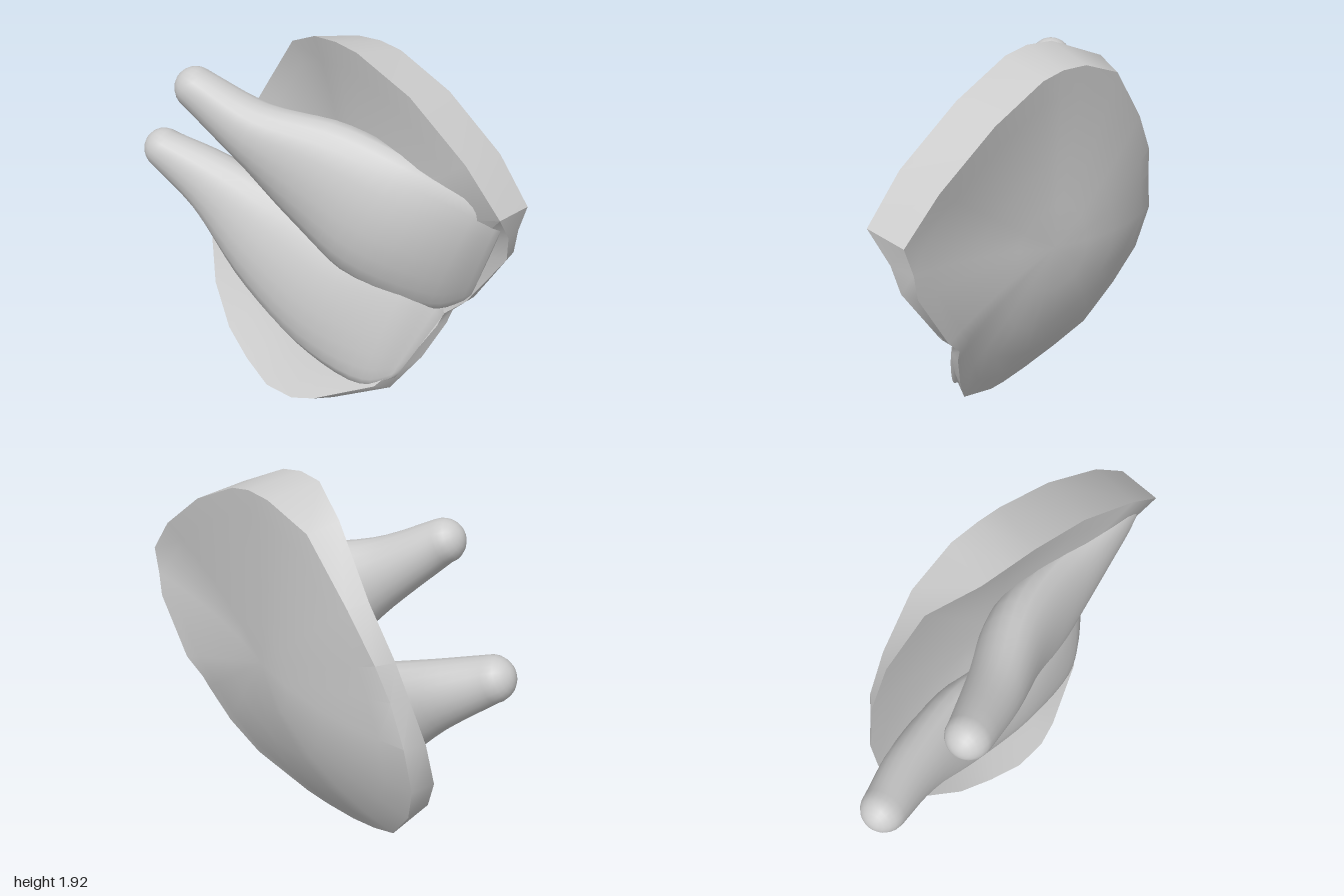
import * as THREE from 'three';
import { mergeVertices, toCreasedNormals } from 'three/addons/utils/BufferGeometryUtils.js';

const V = (p) => new THREE.Vector3(...p);
const material = () => new THREE.MeshStandardMaterial({ color: 0xcccccc, side: THREE.DoubleSide });

// Skin a list of closed rings (arrays of Vector3, equal length)
function loft(rings) {
  const n = rings[0].length, index = [];
  for (let i = 0; i < rings.length - 1; i++) {
    for (let j = 0; j < n; j++) {
      const k = (j + 1) % n;
      const a = i * n + j, b = (i + 1) * n + j, c = (i + 1) * n + k, d = i * n + k;
      index.push(a, b, c, a, c, d);
    }
  }
  const geo = new THREE.BufferGeometry().setFromPoints(rings.flat());
  geo.setIndex(index);
  const merged = mergeVertices(geo, 1e-4);
  merged.computeVertexNormals();
  return merged;
}

// Dished plate: outline as [x, y, front z, back z], anticlockwise from the bottom
function plateGeometry() {
  const outline = [
    [-0.1, 0.005, 0.24, 0.13], [0.08, 0.01, 0.2, 0.08], [0.2, 0.05, 0.14, 0.02],
    [0.47, 0.21, -0.05, -0.14], [0.57, 0.4, -0.19, -0.26], [0.64, 0.6, -0.29, -0.35],
    [0.65, 0.67, -0.32, -0.38], [0.74, 0.77, -0.37, -0.43], [0.93, 1.09, -0.4, -0.48],
    [0.95, 1.22, -0.37, -0.48], [0.99, 1.36, -0.26, -0.48], [0.8, 1.56, -0.22, -0.47],
    [0.48, 1.78, -0.17, -0.43], [0.18, 1.91, -0.11, -0.38], [0.05, 1.93, -0.09, -0.36],
    [-0.1, 1.92, -0.08, -0.34], [-0.35, 1.82, -0.13, -0.28], [-0.58, 1.52, -0.12, -0.21],
    [-0.72, 1.28, -0.07, -0.15], [-0.77, 1.1, -0.02, -0.1], [-0.82, 0.87, 0.05, -0.06],
    [-0.79, 0.6, 0.14, 0.01], [-0.68, 0.38, 0.2, 0.07], [-0.5, 0.17, 0.23, 0.11],
    [-0.3, 0.07, 0.24, 0.13],
  ];
  const cx = 0.05, cy = 1.0;
  // the rim slants: its back edge is drawn in at the top, its front edge at the bottom
  const ring = (t, zc, side) => outline.map((p) => {
    const low = THREE.MathUtils.clamp(1.2 - p[1], 0, 1);
    const s = t * (side === 2 ? 1 - 0.045 * low : 0.95 + 0.05 * low);
    return new THREE.Vector3(cx + (p[0] - cx) * s, cy + (p[1] - cy) * s, zc + (p[side] - zc) * t * t);
  });
  const steps = [0, 0.25, 0.5, 0.7, 0.87, 1];
  return toCreasedNormals(loft([
    ...steps.map((t) => ring(t, -0.2, 2)),
    ...steps.slice().reverse().map((t) => ring(t, -0.32, 3)),
  ]), 0.7);
}

// Finger that widens into the palm: sections as [top edge, bottom edge, half depth]
function fingerGeometry(sections, sides = 20, steps = 24) {
  const curve = (pts) => new THREE.CatmullRomCurve3(pts);
  const top = curve(sections.map((s) => V(s[0])));
  const bottom = curve(sections.map((s) => V(s[1])));
  const depth = curve(sections.map((s, i) => new THREE.Vector3(i, s[2], 0)));
  const axis = new THREE.Vector3(-0.78, 0.46, 0.42).normalize();
  const out = new THREE.Vector3(0.37, -0.23, 0.9).normalize();
  const ring = (t, scale, push) => {
    const T = top.getPoint(t), B = bottom.getPoint(t), d = depth.getPoint(t).y;
    const mid = T.clone().add(B).multiplyScalar(0.5).addScaledVector(axis, push);
    const half = T.sub(B).multiplyScalar(0.5);
    return Array.from({ length: sides }, (_, j) => {
      const a = (j / sides) * Math.PI * 2;
      return mid.clone().addScaledVector(half, Math.cos(a) * scale)
        .addScaledVector(out, -Math.sin(a) * d * scale);
    });
  };
  const rings = [];
  // rounded tip
  for (let k = 0; k < 6; k++) {
    const a = (k / 6) * Math.PI / 2;
    rings.push(ring(0, Math.sin(a), Math.cos(a) * sections[0][2]));
  }
  for (let i = 0; i <= steps; i++) rings.push(ring(i / steps, 1, 0));
  rings.push(ring(1, 0, 0)); // closed root
  return loft(rings);
}

export function createModel() {
  const group = new THREE.Group();
  const add = (name, geometry) => {
    const mesh = new THREE.Mesh(geometry, material());
    mesh.name = name;
    group.add(mesh);
  };

  add('dishedPlate', plateGeometry());

  add('upperFinger', fingerGeometry([
    [[-0.385, 1.75, 0.37], [-0.495, 1.57, 0.37], 0.105],
    [[-0.15, 1.62, 0.2], [-0.29, 1.31, 0.2], 0.14],
    [[0.14, 1.55, -0.06], [-0.08, 1.02, 0.04], 0.17],
    [[0.47, 1.46, -0.21], [0.2, 0.8, -0.07], 0.14],
    [[0.88, 1.4, -0.27], [0.58, 0.69, -0.29], 0.06],
    [[0.965, 1.33, -0.32], [0.73, 0.78, -0.39], 0.02],
  ]));

  add('lowerFinger', fingerGeometry([
    [[-0.835, 1.265, 0.33], [-0.945, 1.075, 0.33], 0.11],
    [[-0.6, 1.18, 0.17], [-0.75, 0.88, 0.22], 0.14],
    [[-0.26, 1.06, 0.0], [-0.42, 0.52, 0.13], 0.16],
    [[0.14, 0.92, -0.08], [0.0, 0.29, 0.06], 0.12],
    [[0.5, 0.88, -0.24], [0.38, 0.22, -0.04], 0.07],
    [[0.64, 0.7, -0.34], [0.52, 0.31, -0.13], 0.02],
  ]));

  return group;
}
